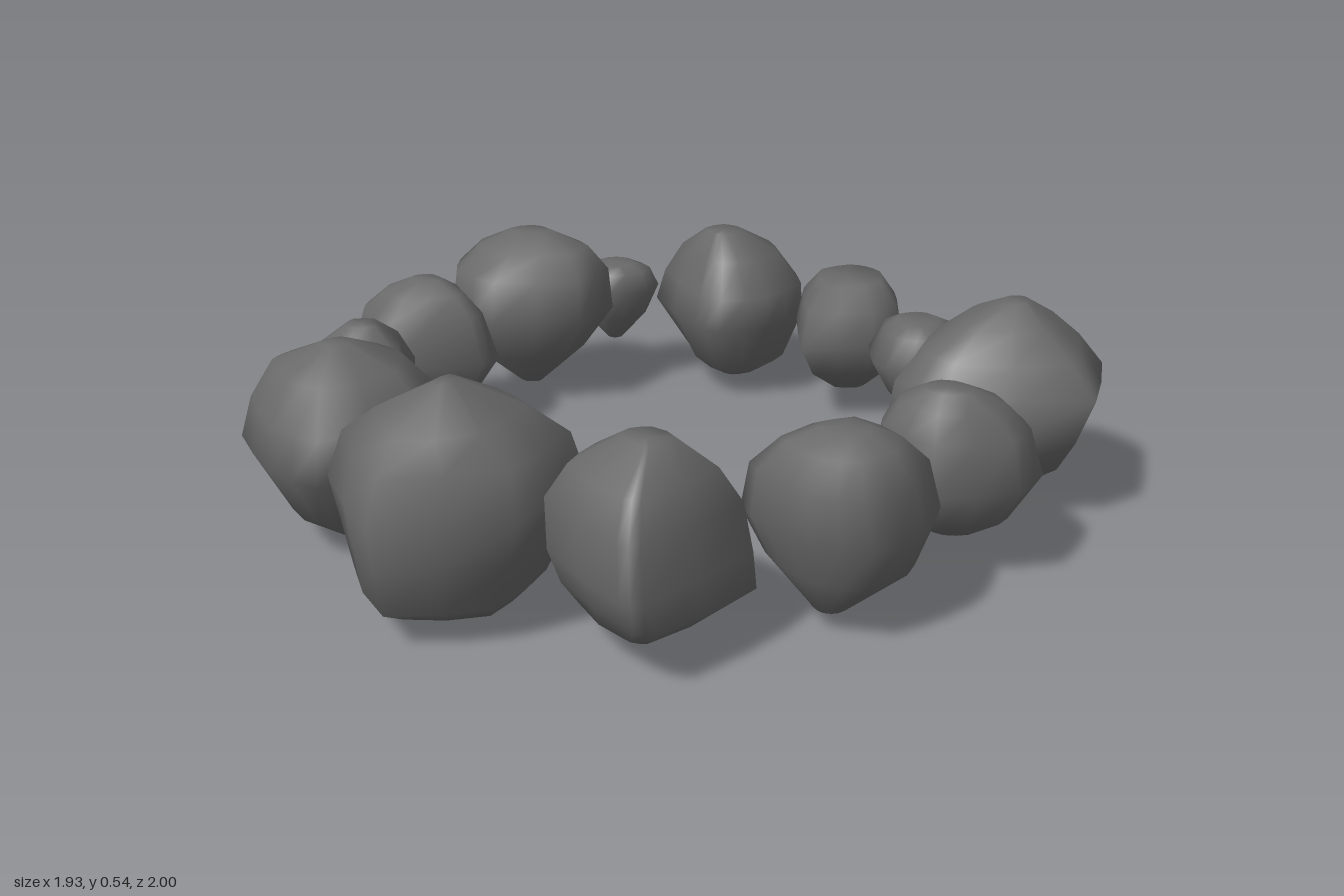
import * as THREE from 'three';

// outline: x,z pairs in hundredths, clockwise from above
// sections: [y, x0, x1, z0, z1] in hundredths, from bottom to top, giving the extent at each height
function stoneGeometry(outline, sections) {
  const corners = [];
  for (let i = 0; i < outline.length; i += 2) {
    corners.push(new THREE.Vector2(outline[i], outline[i + 1]));
  }
  const box = new THREE.Box2().setFromPoints(corners);
  const centre = box.getCenter(new THREE.Vector2());
  const size = box.getSize(new THREE.Vector2());
  corners.forEach((p) => p.sub(centre).divide(size).multiplyScalar(2));

  // corners and slightly bulged edge midpoints, in a -1..1 square
  const rim = corners.flatMap((p, i) => {
    const next = corners[(i + 1) % corners.length];
    return [p, p.clone().lerp(next, 0.5).multiplyScalar(1.02)];
  });

  const n = rim.length, pos = [], index = [];
  for (const [y, x0, x1, z0, z1] of sections) {
    // narrower sections become a little rounder
    const fill = ((x1 - x0) * (z1 - z0)) / (size.x * size.y);
    const roundness = THREE.MathUtils.clamp(1 - fill, 0, 1) * 0.6;
    for (const p of rim) {
      const u = p.clone().lerp(p.clone().normalize(), roundness);
      pos.push((x0 + x1 + u.x * (x1 - x0)) / 200, y / 100, (z0 + z1 + u.y * (z1 - z0)) / 200);
    }
  }
  for (let r = 0; r < sections.length - 1; r++) {
    for (let i = 0; i < n; i++) {
      const a = r * n + i, b = r * n + (i + 1) % n;
      index.push(a, a + n, b, b, a + n, b + n);
    }
  }
  // small bottom and top facets
  const bottom = pos.length / 3, top = bottom + 1, last = (sections.length - 1) * n;
  for (const [y, x0, x1, z0, z1] of [sections[0], sections.at(-1)]) {
    pos.push((x0 + x1) / 200, y / 100, (z0 + z1) / 200);
  }
  for (let i = 0; i < n; i++) {
    const j = (i + 1) % n;
    index.push(bottom, i, j, top, last + j, last + i);
  }
  const geo = new THREE.BufferGeometry();
  geo.setAttribute('position', new THREE.Float32BufferAttribute(pos, 3));
  geo.setIndex(index);
  geo.computeVertexNormals();
  return geo;
}

export function createModel() {
  const group = new THREE.Group();
  group.name = 'stoneRing';
  const stone = new THREE.MeshStandardMaterial({ color: 0x696969 });
  stone.name = 'stoneGrey';

  const addStone = (name, outline, ...sections) => {
    const mesh = new THREE.Mesh(stoneGeometry(outline, sections), stone);
    mesh.name = name;
    group.add(mesh);
  };

  // back of the ring
  addStone('backStone', [-26, -99, -18, -100, -5, -97, 4, -83, 0, -66, -11, -57.5, -19, -60, -38, -79],
    [4, -22, -8, -92, -74], [8, -29, -2, -97, -66], [22, -38, 4, -99.5, -57.5],
    [30, -36, 3, -100, -60], [39, -30, -3, -92, -65], [45, -22, -12, -81, -71]);
  addStone('backLeftStone', [4, -78, 14, -90, 22, -90, 31, -85, 36, -71, 31, -62, 14, -54],
    [6.5, 15, 25, -80, -70], [14, 8, 33, -87, -58], [22, 4, 36, -90, -54],
    [31, 6, 34, -88, -57], [37, 11, 29, -84, -63]);
  addStone('backLeftPebble', [30, -61, 39, -68, 46, -69, 56, -64, 57, -53, 51, -46, 43, -44, 35, -49],
    [9, 42, 45, -57, -54], [15, 35, 53, -68, -49], [23, 30, 57, -69, -44],
    [31, 34, 54, -68, -47], [33.5, 38, 49, -63, -51]);

  // left side
  addStone('leftBoulder', [50, -40, 55, -50, 78, -55, 92, -48, 96, -20, 63, -7, 49, -15],
    [0.5, 69, 75, -32, -25], [7, 58, 80, -48, -16], [14, 52, 89, -54, -9], [22, 49, 93, -54, -6],
    [32, 50, 96.5, -55, -9], [39, 54, 90, -53, -14], [45.5, 62, 83, -46, -20], [50, 71, 77, -37, -29]);
  addStone('leftStone', [62, -8, 73, -10, 84, -5, 91, 5, 89, 17, 72, 28, 56, 21, 54, 7],
    [9, 66, 77, 5, 13], [14, 59, 85, -5, 21], [24, 54, 91, -9, 28],
    [35, 56, 88, -5, 25], [41, 60, 83, 2, 23], [45, 66, 77, 11, 20]);
  addStone('frontLeftStone', [54, 20, 75, 31, 76, 46, 69, 60, 56, 62, 44, 55, 36, 48],
    [5, 52, 61, 39, 51], [15, 42, 73, 28, 58], [24, 36, 76, 20, 60],
    [36, 39, 74, 24, 63], [42, 45, 69, 32, 56], [44.5, 52, 63, 39, 48]);

  // front
  addStone('frontStone', [7, 59, 22, 48, 46, 62, 35, 92, 30, 93, 6, 77],
    [3.5, 18, 25, 65, 73], [9, 11, 39, 54, 85], [14, 8, 46, 50, 90], [22, 6, 45, 48, 94],
    [33, 5, 43, 50, 91], [41, 10, 39, 56, 87], [47.5, 20, 31, 66, 76]);
  addStone('frontBoulder', [-32, 51, -13, 50, 7, 58, 4, 84, -22, 99, -45, 78],
    [5, -36, -5, 60, 88], [9, -40, -1, 56, 95], [20, -43, 3, 51, 98], [30, -45, 6, 50, 100],
    [40, -42, 3, 51, 96], [47, -33, -4, 58, 92], [54, -20, -16, 71, 78]);
  addStone('frontRightBoulder', [-70, 31, -56, 26, -43, 31, -35, 50, -50, 75, -65, 71, -82, 56, -80, 45],
    [2, -59, -51, 47, 54], [9, -73, -45, 37, 64], [24, -83, -35, 26, 75],
    [34, -80, -37, 28, 73], [43, -75, -45, 35, 65], [48, -63, -57, 46, 53]);

  // right side
  addStone('rightStone', [-89, 15, -88, 8, -70, 0, -59, 20, -73, 33, -87, 26],
    [11, -77, -70, 13, 19], [17, -85, -63, 4, 28], [26, -89, -59, 0, 33],
    [34, -86, -64, 4, 28], [40, -78, -70, 13, 21]);
  addStone('rightMiddleStone', [-97, -17, -94, -24, -79, -36, -57, -20, -58, -13, -78, 2, -94, -8],
    [3, -80, -73, -20, -13], [12, -92, -63, -31, -4], [21, -97, -57, -36, 2],
    [33, -93, -61, -32, -2], [38, -87, -66, -27, -7], [41, -80, -72, -21, -14]);
  addStone('backRightStone', [-85, -49, -69, -68, -55, -67, -42, -58, -44, -42, -65, -31, -80, -37],
    [4, -66, -60, -52, -47], [14, -78, -49, -62, -36], [25, -85, -42, -68, -31],
    [36, -84, -43, -67, -33], [42, -78, -48, -63, -40], [45.5, -70, -59, -58, -49]);
  addStone('backRightPebble', [-57, -67, -53, -75, -46, -79, -35, -73, -35, -66, -43, -57, -55, -61],
    [13, -48, -44, -70, -66], [20, -54, -38, -76, -60], [28, -57, -35, -79, -57],
    [33, -55, -37, -77, -59], [34.5, -51, -41, -73, -63]);
  return group;
}
